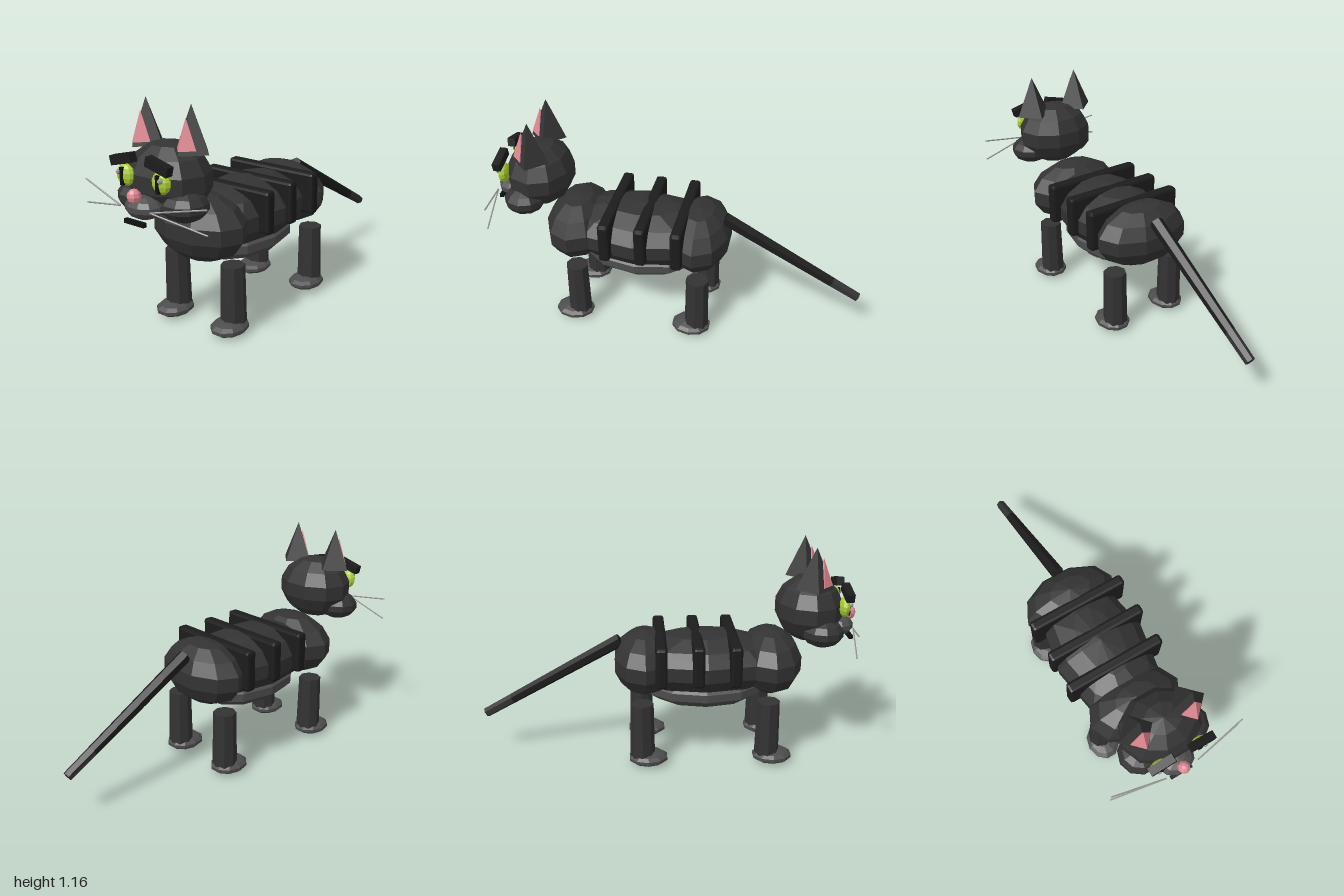
import * as THREE from 'three';
import { RoundedBoxGeometry } from 'three/addons/geometries/RoundedBoxGeometry.js';

const mat = (color) => new THREE.MeshStandardMaterial({ color, flatShading: true });
const fur = mat(0x333333);
const dark = mat(0x1c1c1c);
const softGrey = mat(0x4c4c4c);
const pink = mat(0xe08890);
const green = mat(0xaacc33);
const black = mat(0x101010);
const paleGrey = mat(0x999999);

export function createModel() {
  const cat = new THREE.Group();
  cat.name = 'cat';

  const add = (name, geometry, material, x, y, z, parent = cat) => {
    const mesh = new THREE.Mesh(geometry, material);
    mesh.name = name;
    mesh.position.set(x, y, z);
    parent.add(mesh);
    return mesh;
  };
  // Faceted ellipsoid given by its three radii
  const blob = (name, material, pos, radii, parent) =>
    add(name, new THREE.SphereGeometry(1, 10, 7).scale(...radii), material, ...pos, parent);
  // Tapered rod running from point a to point b
  const rod = (name, material, a, b, ra, rb, sides, parent) => {
    const from = new THREE.Vector3(...a), dir = new THREE.Vector3(...b).sub(from);
    const mesh = add(name, new THREE.CylinderGeometry(rb, ra, dir.length(), sides), material, 0, 0, 0, parent);
    mesh.position.copy(from).addScaledVector(dir, 0.5);
    mesh.quaternion.setFromUnitVectors(new THREE.Vector3(0, 1, 0), dir.normalize());
    return mesh;
  };

  // Body
  blob('torso', fur, [0, 0.525, 0.2], [0.257, 0.168, 0.47]);
  blob('chest', fur, [0, 0.526, 0.548], [0.268, 0.174, 0.172]);
  blob('hindquarters', fur, [0, 0.53, -0.12], [0.268, 0.17, 0.172]);
  blob('belly', softGrey, [0, 0.375, 0.2], [0.2, 0.095, 0.32]);
  for (const z of [0.34, 0.15, -0.04])
    add('backStripe', new RoundedBoxGeometry(0.55, 0.22, 0.06, 1, 0.015), dark, 0, 0.58, z);

  // Legs and paws
  for (const side of [1, -1])
    for (const [name, z] of [['front', 0.525], ['back', -0.14]]) {
      add(name + 'Leg', new THREE.CylinderGeometry(0.06, 0.066, 0.32, 8), fur, side * 0.18, 0.195, z);
      blob(name + 'Paw', softGrey, [side * 0.18, 0.04, z + 0.03], [0.09, 0.037, 0.108]);
    }

  // Tail made of stepped segments, thinner towards the tip
  const tailStart = new THREE.Vector3(0, 0.645, -0.25);
  const tailEnd = new THREE.Vector3(0, 0.235, -0.985);
  for (let i = 0; i < 5; i++) {
    const a = tailStart.clone().lerp(tailEnd, i / 5);
    const b = tailStart.clone().lerp(tailEnd, (i + 1) / 5);
    const r = 0.037 - i * 0.0022;
    rod(i < 4 ? 'tailSegment' : 'tailTip', i < 4 ? dark : fur, a.toArray(), b.toArray(), r, r - 0.002, 6);
  }

  // Head
  const head = new THREE.Group();
  head.name = 'head';
  cat.add(head);
  blob('skull', fur, [0, 0.815, 0.745], [0.215, 0.175, 0.178], head);
  blob('muzzle', softGrey, [0, 0.718, 0.91], [0.097, 0.055, 0.078], head);
  add('nose', new THREE.SphereGeometry(0.032, 8, 6).scale(1, 1.1, 1), pink, 0, 0.78, 0.968, head);
  add('mouth', new THREE.BoxGeometry(0.12, 0.02, 0.02), black, 0, 0.66, 0.97, head);

  for (const s of [1, -1]) {
    blob('cheek', fur, [s * 0.135, 0.72, 0.795], [0.113, 0.075, 0.11], head);
    blob('eye', green, [s * 0.108, 0.845, 0.908], [0.052, 0.052, 0.028], head);
    add('pupil', new THREE.BoxGeometry(0.017, 0.082, 0.02), black, s * 0.108, 0.843, 0.928, head);
    add('eyeHighlight', new THREE.SphereGeometry(0.013, 6, 5), paleGrey, s * 0.126, 0.862, 0.934, head);
    const brow = add('brow', new THREE.BoxGeometry(0.13, 0.045, 0.04), dark, s * 0.108, 0.922, 0.92, head);
    brow.rotation.z = -s * 0.25;

    // Four-sided ears with one corner to the front
    add('ear', new THREE.ConeGeometry(0.097, 0.215, 4), fur, s * 0.137, 1.058, 0.738, head);
    add('innerEar', new THREE.ConeGeometry(0.056, 0.14, 4), pink, s * 0.137, 1.04, 0.775, head);

    // Whiskers
    for (const y of [0.78, 0.666])
      rod('whisker', paleGrey, [s * 0.09, 0.722, 0.967], [s * 0.37, y, 0.915], 0.004, 0.004, 5, head);
  }
  return cat;
}
